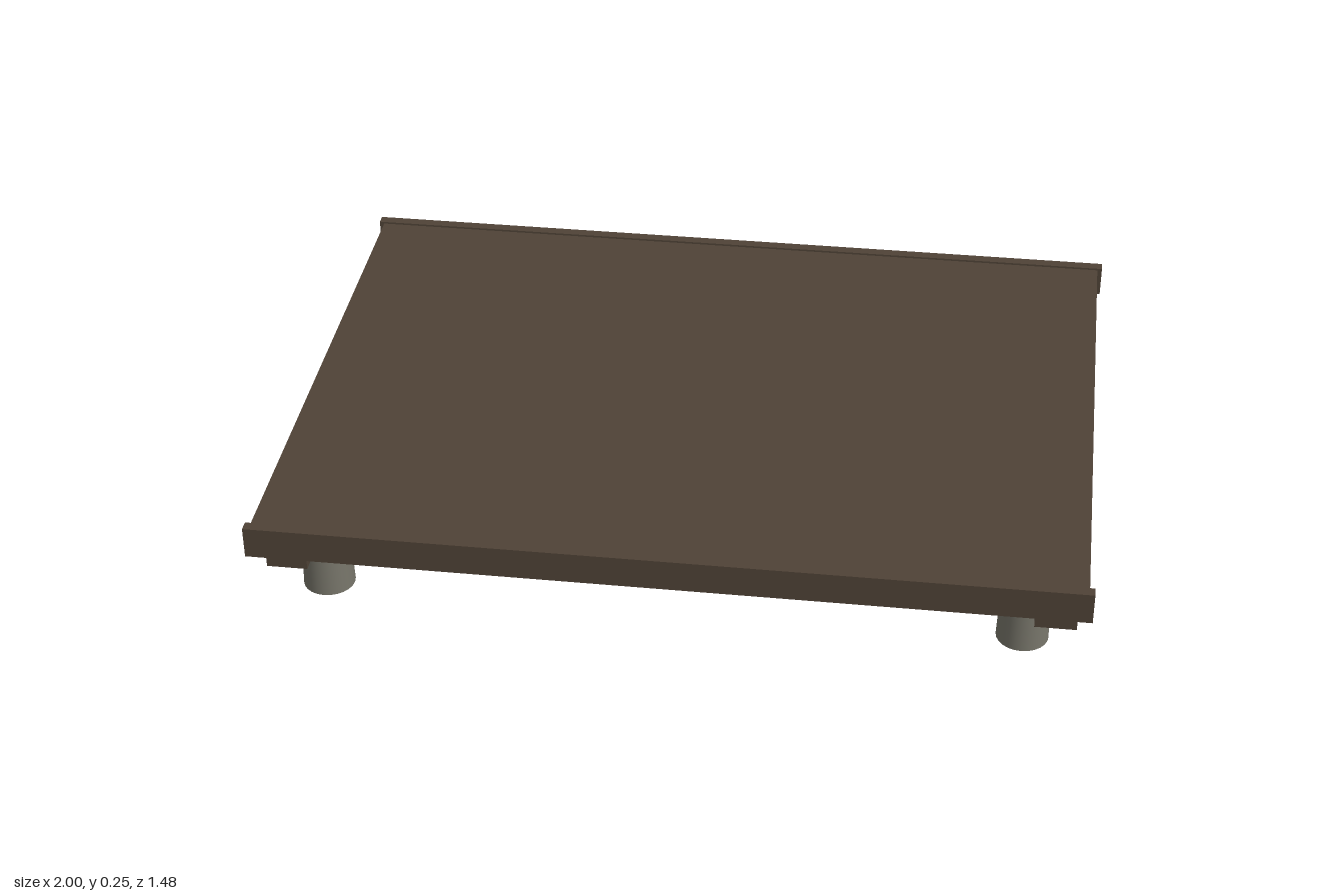
import * as THREE from 'three';

export function createModel() {
  const model = new THREE.Group();
  model.name = 'lowPlatform';

  const wood = new THREE.MeshStandardMaterial({ color: 0x4f4236 });
  wood.name = 'dark wood';
  const metal = new THREE.MeshStandardMaterial({ color: 0x77756a });
  metal.name = 'grey metal';

  // Box given by its minimum and maximum corners
  function box(name, [x0, y0, z0], [x1, y1, z1]) {
    const mesh = new THREE.Mesh(new THREE.BoxGeometry(x1 - x0, y1 - y0, z1 - z0), wood);
    mesh.position.set((x0 + x1) / 2, (y0 + y1) / 2, (z0 + z1) / 2);
    mesh.name = name;
    model.add(mesh);
  }

  // Flat top panel
  box('deck', [-0.988, 0.2, -0.715], [0.988, 0.245, 0.715]);

  for (const s of [1, -1]) {
    const end = s > 0 ? 'front' : 'back';
    const side = s > 0 ? 'left' : 'right';

    // Edge trim, standing just proud of the deck
    const trimZ = [0.715 * s, 0.742 * s].sort((a, b) => a - b);
    box(end + 'Trim', [-1, 0.17, trimZ[0]], [1, 0.25, trimZ[1]]);

    // Crossed underframe rails whose ends run past each other
    const railZ = [0.54 * s, 0.638 * s].sort((a, b) => a - b);
    box(end + 'Rail', [-0.986, 0.092, railZ[0]], [0.986, 0.2, railZ[1]]);
    const railX = [0.869 * s, 0.968 * s].sort((a, b) => a - b);
    box(side + 'Rail', [railX[0], 0.101, -0.684], [railX[1], 0.2, 0.684]);

    // Tapered feet let into the rails
    for (const t of [1, -1]) {
      const foot = new THREE.Mesh(new THREE.CylinderGeometry(0.055, 0.063, 0.2, 24), metal);
      foot.position.set(0.844 * s, 0.1, 0.589 * t);
      foot.name = side + (t > 0 ? 'Front' : 'Back') + 'Foot';
      model.add(foot);
    }
  }

  return model;
}
